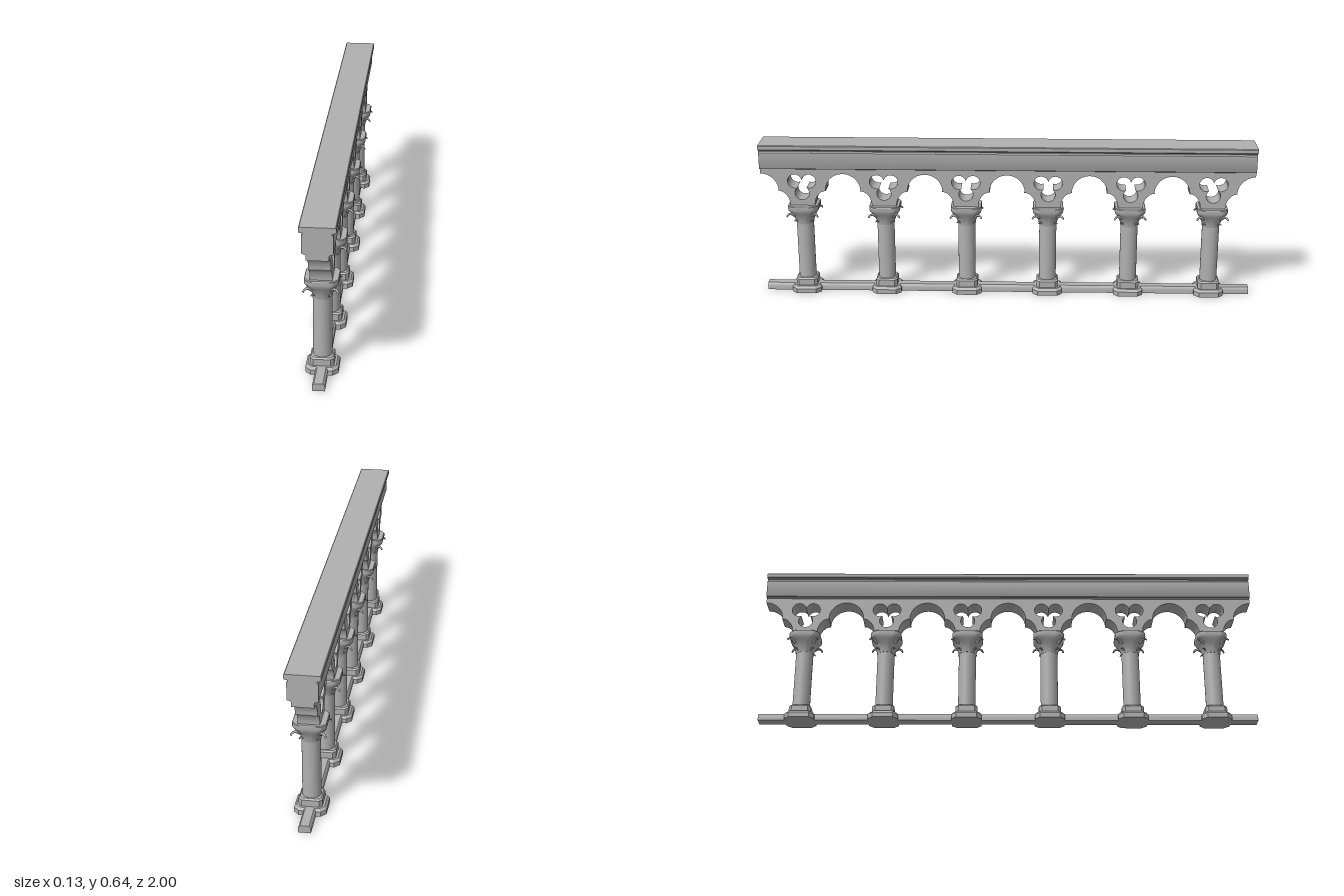
import * as THREE from 'three';
import { toCreasedNormals } from 'three/addons/utils/BufferGeometryUtils.js';

const PITCH = 1 / 3, COUNT = 6, DEG = Math.PI / 180;

// Closed solid through stacked rings of [x, z] points, each ring at its own height
function loft(rings, crease = 0.5) {
  const n = rings[0].pts.length, pos = [], idx = [];
  rings.forEach(r => r.pts.forEach(([x, z]) => pos.push(x, r.y, z)));
  const last = (rings.length - 1) * n, bottom = rings.length * n;
  pos.push(0, rings[0].y, 0, 0, rings[rings.length - 1].y, 0);
  for (let i = 0; i < n; i++) {
    const j = (i + 1) % n;
    for (let k = 0; k < last; k += n) {
      idx.push(k + i, k + n + i, k + j, k + j, k + n + i, k + n + j);
    }
    idx.push(bottom, i, j, bottom + 1, last + j, last + i);
  }
  const g = new THREE.BufferGeometry();
  g.setAttribute('position', new THREE.Float32BufferAttribute(pos, 3));
  g.setIndex(idx);
  return toCreasedNormals(g, crease);
}

// Square ring with cut corners
function cutSquare(y, h, c) {
  const k = h - c;
  return { y, pts: [[h, -k], [h, k], [k, h], [-k, h], [-h, k], [-h, -k], [-k, -h], [k, -h]] };
}

// Ring blending from a circle (t = 0) to a cut square (t = 1)
function blendRing(y, h, cut, t) {
  const pts = [];
  for (let i = 0; i < 48; i++) {
    const a = i * 7.5 * DEG, c = Math.abs(Math.cos(a)), s = Math.abs(Math.sin(a));
    const sq = Math.min(h / Math.max(c, s), (2 * h - cut) / (c + s));
    const r = h + (sq - h) * t;
    pts.push([r * Math.cos(a), r * Math.sin(a)]);
  }
  return { y, pts };
}

// Mirrored polygon from the right half of an outline
function mirroredShape(half) {
  const left = half.slice().reverse().map(([x, y]) => [-x, y]);
  return new THREE.Shape([...half, ...left].map(p => new THREE.Vector2(...p)));
}

function extrudeAlongZ(shape, length) {
  const g = new THREE.ExtrudeGeometry(shape, { depth: length, bevelEnabled: false });
  g.translate(0, 0, -length / 2);
  return toCreasedNormals(g, 0.5);
}

// One bay of stone tracery: half of a lobed arch on each side, trefoil in the middle
function traceryGeometry() {
  const w = PITCH / 2, s = new THREE.Shape();
  s.moveTo(-w, 0.545);
  s.lineTo(w, 0.545);
  s.lineTo(w, 0.516);
  s.absarc(w, 0.445, 0.071, 90 * DEG, 180 * DEG, false);
  s.absellipse(0.097, 0.38, 0.047, 0.063, 90 * DEG, 180 * DEG, false);
  s.lineTo(-0.05, 0.38);
  s.absellipse(-0.097, 0.38, 0.047, 0.063, 0, 90 * DEG, false);
  s.absarc(-w, 0.445, 0.071, 0, 90 * DEG, false);
  s.closePath();

  const hole = new THREE.Path();
  [-90, 30, 150].forEach(a => {
    hole.absarc(0.033 * Math.cos(a * DEG), 0.467 + 0.033 * Math.sin(a * DEG), 0.029,
      (a - 140) * DEG, (a + 140) * DEG, false);
  });
  hole.closePath();
  s.holes.push(hole);

  const g = new THREE.ExtrudeGeometry(s, { depth: 0.08, bevelEnabled: false, curveSegments: 16 });
  g.translate(0, 0, -0.04);
  g.rotateY(-Math.PI / 2);
  return toCreasedNormals(g, 0.5);
}

// Tapered leaf tip, curling outward along +x
function leafGeometry(points, radius) {
  const curve = new THREE.CatmullRomCurve3(points.map(([x, y]) => new THREE.Vector3(x, y, 0)));
  const g = new THREE.TubeGeometry(curve, 8, radius, 8, false);
  const p = g.attributes.position, v = new THREE.Vector3();
  for (let i = 0; i < p.count; i++) {
    const t = Math.floor(i / 9) / 8, c = curve.getPointAt(t);
    v.fromBufferAttribute(p, i).sub(c).multiplyScalar(1 - 0.55 * t).add(c);
    p.setXYZ(i, v.x, v.y, v.z);
  }
  g.computeVertexNormals();
  return g;
}

export function createModel() {
  const model = new THREE.Group();
  model.name = 'arcadeBalustrade';
  const stone = new THREE.MeshStandardMaterial({ color: 0xb0b0b0 });
  stone.name = 'grey stone';
  const leafStone = stone.clone();
  leafStone.name = 'grey stone leaf';
  leafStone.side = THREE.DoubleSide;

  const add = (parent, name, geometry, material = stone) => {
    const m = new THREE.Mesh(geometry, material);
    m.name = name;
    parent.add(m);
    return m;
  };

  // Moulded handrail
  add(model, 'handrail', extrudeAlongZ(mirroredShape([
    [0.04, 0.535], [0.047, 0.54], [0.053, 0.54], [0.055, 0.544], [0.055, 0.608], [0.051, 0.613],
    [0.051, 0.619], [0.062, 0.62], [0.065, 0.624], [0.065, 0.638], [0.062, 0.641],
  ]), 2));

  // Low sill joining the column bases
  add(model, 'sill', extrudeAlongZ(mirroredShape([
    [0.023, 0], [0.023, 0.018], [0.021, 0.024], [0.016, 0.029],
  ]), 2));

  // Shared geometries for the repeated bays
  const tracery = traceryGeometry();
  const plinth = loft([cutSquare(0, 0.06, 0.02), cutSquare(0.019, 0.06, 0.02), cutSquare(0.029, 0.052, 0.017)], 0.3);
  const block = loft([cutSquare(0.027, 0.044, 0.012), cutSquare(0.055, 0.044, 0.012), cutSquare(0.061, 0.039, 0.011)], 0.3);
  const shaft = new THREE.CylinderGeometry(0.035, 0.035, 0.245, 32);
  const capital = loft([
    blendRing(0.296, 0.036, 0.02, 0),
    blendRing(0.312, 0.039, 0.02, 0.2),
    blendRing(0.33, 0.046, 0.022, 0.55),
    blendRing(0.345, 0.054, 0.023, 0.85),
    blendRing(0.356, 0.06, 0.022, 1),
    blendRing(0.364, 0.062, 0.02, 1),
    blendRing(0.378, 0.062, 0.02, 1),
    blendRing(0.381, 0.06, 0.02, 1),
  ]);
  const upperLeaf = leafGeometry([[0.05, 0.335], [0.066, 0.345], [0.08, 0.346], [0.09, 0.338]], 0.007);
  const lowerLeaf = leafGeometry([[0.036, 0.308], [0.045, 0.314], [0.054, 0.31]], 0.0045);

  for (let i = 0; i < COUNT; i++) {
    const bay = new THREE.Group();
    bay.name = 'bay';
    bay.position.z = (i - (COUNT - 1) / 2) * PITCH;
    model.add(bay);
    add(bay, 'tracery', tracery);
    add(bay, 'plinth', plinth);
    add(bay, 'baseBlock', block);
    add(bay, 'shaft', shaft).position.y = 0.1785;
    add(bay, 'capital', capital);
    // Curled leaves on the four corners of the capital
    for (let k = 0; k < 4; k++) {
      const angle = (45 + 90 * k) * DEG;
      add(bay, 'upperLeaf', upperLeaf, leafStone).rotation.y = angle;
      add(bay, 'lowerLeaf', lowerLeaf, leafStone).rotation.y = angle;
    }
  }
  return model;
}
